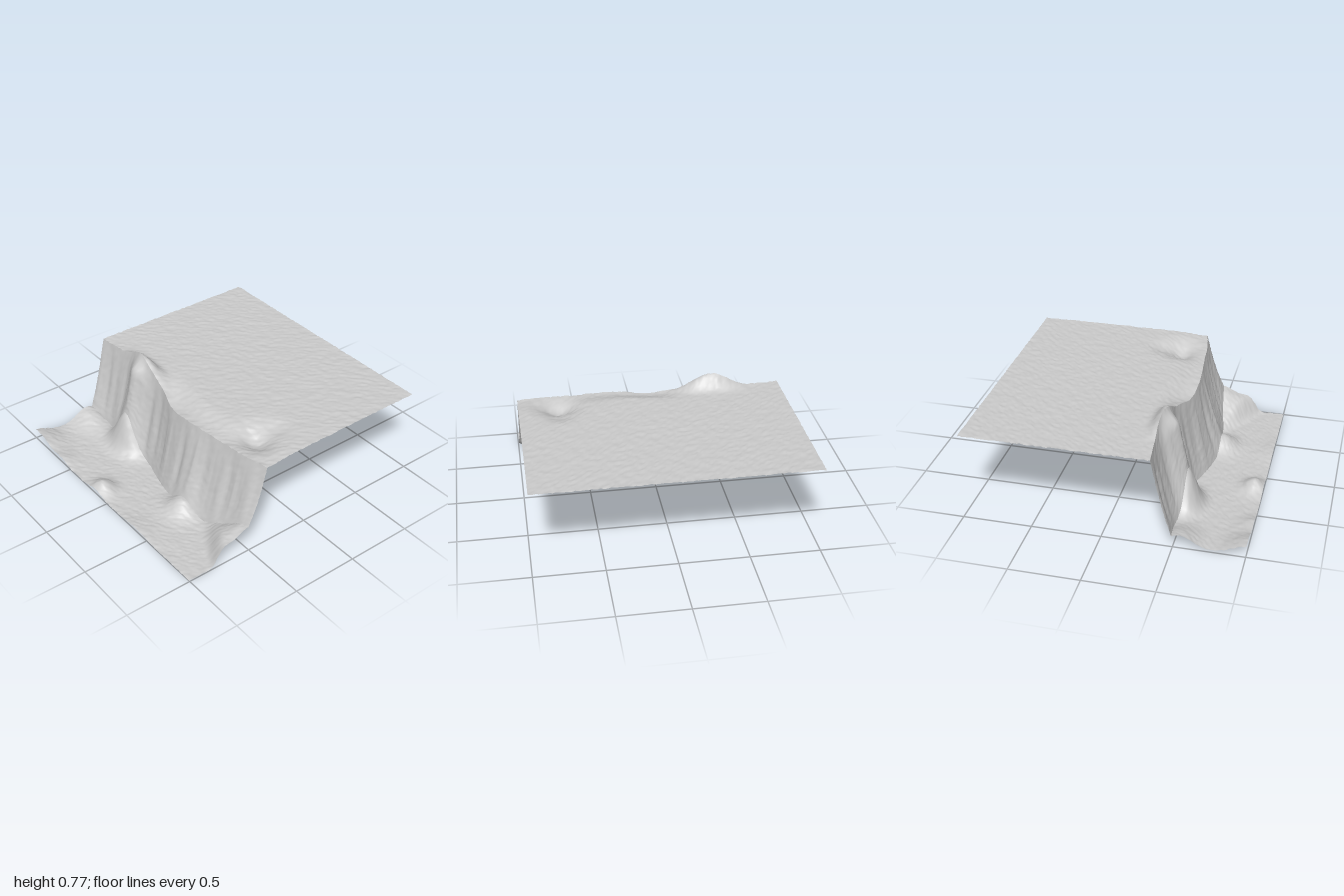
import * as THREE from 'three';

const COLS = 110, HALF_X = 0.995;
const PLATEAU_ROWS = 72, CLIFF_ROWS = 28, GROUND_ROWS = 30;
const PLATEAU_Y = 0.664, GROUND_Y = 0.013;

// Smooth curve through a few values spaced evenly over x = -1..1
function curveOverX(values) {
  const xs = values.map((_, i) => -1 + (2 * i) / (values.length - 1));
  const curve = new THREE.CubicInterpolant(xs, values, 1);
  return x => curve.evaluate(x)[0];
}
const rimZ = curveOverX([0.34, 0.32, 0.31, 0.34, 0.355, 0.41, 0.43, 0.42, 0.40, 0.385, 0.35]);
const footZ = curveOverX([0.49, 0.47, 0.49, 0.50, 0.50, 0.55, 0.59, 0.59, 0.57, 0.53, 0.50]);
const rimDrop = curveOverX([0, 0, 0, 0, 0.015, 0.06, 0.045, 0.035, 0.03, 0.02, 0.015]);

const smooth = (x, a, b) => THREE.MathUtils.smoothstep(x, a, b);
const lerp = THREE.MathUtils.lerp;
const mound = (x, z, cx, cz, rx, rz) => Math.exp(-(((x - cx) / rx) ** 2) - ((z - cz) / rz) ** 2);

// Repeatable roughness in -1..1
function rough(i, j) {
  const s = Math.sin(i * 127.1 + j * 311.7) * 43758.5453;
  return 2 * (s - Math.floor(s)) - 1;
}

// Plateau: flat, with a knoll on the rim, a worn edge and a hollow
function plateauHeight(x, z) {
  const knoll = 0.108 * Math.exp(-(Math.abs((x + 0.48) / 0.18) ** 2.5) - ((z - 0.325) / 0.065) ** 2);
  const worn = rimDrop(x) * smooth(z, rimZ(x) - 0.22, rimZ(x) - 0.03);
  const hollow = 0.085 * mound(x, z, 0.7, 0.2, 0.13, 0.1) + 0.025 * mound(x, z, 0.7, 0.04, 0.1, 0.07);
  return PLATEAU_Y + knoll - worn - hollow;
}

// Low ground: rubble against the cliff and swells along the front edge
function groundHeight(x, z) {
  const ridge = 0.6 + 0.5 * (x - 0.65);
  return GROUND_Y
    + 0.31 * mound(x, z, -0.48, 0.49, 0.14, 0.09)
    + 0.10 * mound(x, z, 0.38, 0.60, 0.12, 0.11)
    + 0.14 * smooth(x, 0.5, 0.95) * (1 - smooth(z, ridge - 0.08, ridge + 0.06))
    + 0.06 * smooth(x, 0.7, 1) * mound(x, z, 1, 0.5, 0.3, 0.1)
    + 0.09 * mound(x, z, -1, 0.54, 0.22, 0.13)
    + 0.085 * mound(x, z, -0.95, 1.02, 0.2, 0.16)
    + 0.03 * mound(x, z, -0.62, 1, 0.09, 0.1)
    + 0.075 * mound(x, z, -0.15, 0.93, 0.09, 0.08)
    + 0.018 * mound(x, z, 0.38, 1, 0.16, 0.12);
}

function plateauPoint(x, t) {
  const z = lerp(-1, rimZ(x), t);
  return [x, plateauHeight(x, z), z];
}

// Cliff: steep face with vertical flutes and one jutting buttress
function cliffPoint(x, t, i) {
  const top = plateauHeight(x, rimZ(x)), bottom = groundHeight(x, footZ(x));
  const fade = Math.sin(Math.PI * t);
  const buttress = 0.07 * Math.exp(-(((x + 0.48) / 0.1) ** 2)) * smooth(t, 0, 0.22) * (1 - t);
  const flutes = fade * (0.006 * Math.sin(x * 23) + 0.004 * Math.sin(x * 51) + 0.004 * rough(i, 7));
  const fall = t + 0.07 * Math.sin(Math.PI * t);
  return [x, lerp(top, bottom, fall), lerp(rimZ(x), footZ(x), t) + buttress + flutes];
}

function groundPoint(x, t) {
  const z = lerp(footZ(x), 1, t);
  return [x, groundHeight(x, z), z];
}

// Strip of terrain; firstRow keeps the roughness equal along shared edges
function strip(name, pointAt, rows, firstRow, bump, material) {
  const positions = [], index = [];
  for (let r = 0; r <= rows; r++) {
    for (let c = 0; c <= COLS; c++) {
      const x = lerp(-HALF_X, HALF_X, c / COLS);
      const [px, py, pz] = pointAt(x, r / rows, c);
      const seam = r === 0 || r === rows;
      const lift = (seam ? 0.004 : bump) * rough(c, firstRow + r);
      const shift = seam ? 0 : 0.002 * rough(c + 50, firstRow + r);
      positions.push(px, Math.max(0, py + lift), pz + shift);
      if (r < rows && c < COLS) {
        const a = r * (COLS + 1) + c, b = a + COLS + 1;
        index.push(a, b, a + 1, a + 1, b, b + 1);
      }
    }
  }
  const geometry = new THREE.BufferGeometry();
  geometry.setAttribute('position', new THREE.Float32BufferAttribute(positions, 3));
  geometry.setIndex(index);
  geometry.computeVertexNormals();
  const mesh = new THREE.Mesh(geometry, material);
  mesh.name = name;
  return mesh;
}

export function createModel() {
  const group = new THREE.Group();
  group.name = 'cliffTerrain';
  const stone = new THREE.MeshStandardMaterial({ color: 0xcccccc, side: THREE.DoubleSide });
  group.add(
    strip('plateau', plateauPoint, PLATEAU_ROWS, 0, 0.004, stone),
    strip('cliffFace', cliffPoint, CLIFF_ROWS, PLATEAU_ROWS, 0.003, stone),
    strip('lowGround', groundPoint, GROUND_ROWS, PLATEAU_ROWS + CLIFF_ROWS, 0.004, stone)
  );
  return group;
}
